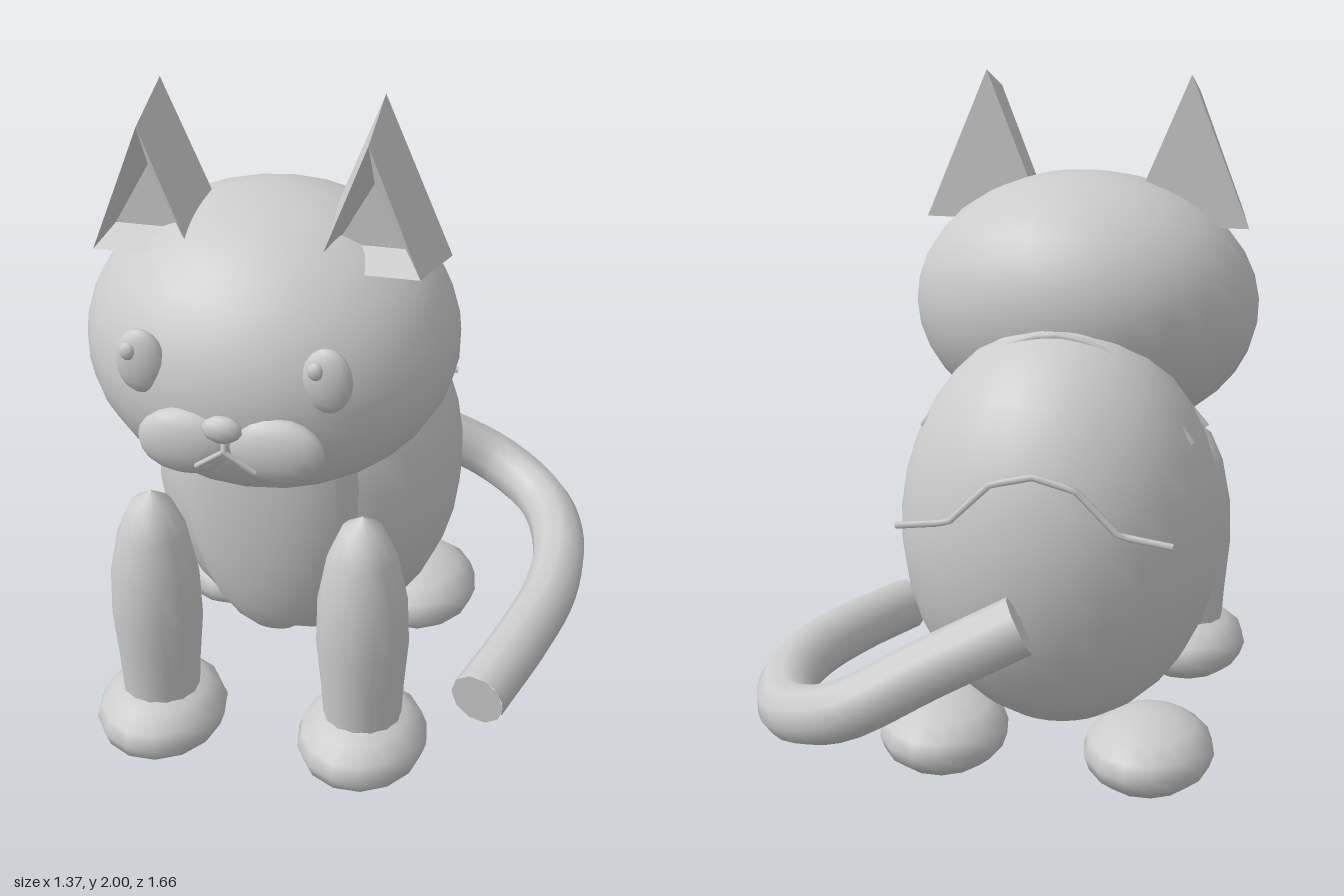
import * as THREE from 'three';

const CX = -0.165; // the cat sits left of the origin, balanced by its tail
const V = (x, y, z) => new THREE.Vector3(x, y, z);

export function createModel() {
  const model = new THREE.Group();
  const grey = new THREE.MeshStandardMaterial({ color: 0xcccccc });
  grey.name = 'light grey';

  const add = (name, geometry, x = 0, y = 0, z = 0) => {
    const mesh = new THREE.Mesh(geometry, grey);
    mesh.name = name;
    mesh.position.set(x, y, z);
    model.add(mesh);
    return mesh;
  };
  const ellipsoid = (name, x, y, z, rx, ry, rz, seg = 16) =>
    add(name, new THREE.SphereGeometry(1, seg, Math.round(seg * 0.6)).scale(rx, ry, rz), x, y, z);

  // Thin rod along straight segments
  const rod = (name, points, radius) => {
    const path = new THREE.CurvePath();
    for (let i = 1; i < points.length; i++) path.add(new THREE.LineCurve3(points[i - 1], points[i]));
    return add(name, new THREE.TubeGeometry(path, points.length * 4, radius, 6), CX);
  };

  // Body, chest patch and head
  ellipsoid('body', CX, 0.715, -0.08, 0.475, 0.61, 0.45, 28);
  ellipsoid('chestPatch', CX, 0.85, 0.37, 0.26, 0.51, 0.12, 24);
  ellipsoid('head', CX, 1.3, 0.3, 0.525, 0.4, 0.465, 28).rotation.x = 0.4;

  // Front leg profile, narrowing to a blunt shoulder
  const legProfile = [[0.11, 0.13], [0.12, 0.3], [0.133, 0.45], [0.128, 0.6], [0.1, 0.74], [0.06, 0.83], [0, 0.87]]
    .map(([r, y]) => new THREE.Vector2(r, y));

  // Ear: a triangular prism, wider and taller at the back
  const earGeometry = () => {
    const back = [V(-0.183, 1.555, 0.255), V(0.183, 1.555, 0.255), V(0, 2, 0.27)];
    const front = [V(-0.14, 1.575, 0.478), V(0.14, 1.575, 0.478), V(0, 1.93, 0.475)];
    // Recessed triangle inside the front rim
    const inner = [V(-0.1, 1.625, 0.4), V(0.1, 1.625, 0.4), V(0, 1.8, 0.4)];
    const corners = [];
    const tri = (a, b, c) => corners.push(a, b, c);
    for (let i = 0; i < 3; i++) {
      const j = (i + 1) % 3;
      tri(back[i], back[j], front[j]);
      tri(back[i], front[j], front[i]);
      tri(front[i], front[j], inner[j]);
      tri(front[i], inner[j], inner[i]);
    }
    tri(...inner);
    tri(back[0], back[2], back[1]);
    const geometry = new THREE.BufferGeometry().setFromPoints(corners);
    geometry.computeVertexNormals();
    return geometry;
  };

  // Paired parts
  for (const [side, s] of [['left', 1], ['right', -1]]) {
    const limbX = CX + s * 0.308;
    add(side + 'FrontLeg', new THREE.LatheGeometry(legProfile.map((p) => p.clone()), 14), limbX, 0, 0.53);
    ellipsoid(side + 'FrontPaw', limbX, 0.115, 0.53, 0.192, 0.112, 0.225, 14);
    ellipsoid(side + 'BackPaw', limbX, 0.115, -0.29, 0.192, 0.112, 0.225, 14);
    add(side + 'Ear', earGeometry(), limbX);
    ellipsoid(side + 'Eye', CX + s * 0.252, 1.368, 0.692, 0.068, 0.092, 0.033);
    ellipsoid(side + 'EyeGlint', CX + s * 0.252 - 0.025, 1.405, 0.718, 0.022, 0.025, 0.015, 12);
    ellipsoid(side + 'Muzzle', CX + s * 0.125, 1.17, 0.735, 0.13, 0.095, 0.05);
    rod(side + 'Mouth', [V(0, 1.22, 0.785), V(0, 1.185, 0.8), V(s * 0.08, 1.125, 0.785)], 0.008);
  }
  ellipsoid('nose', CX, 1.255, 0.805, 0.055, 0.038, 0.028, 12);

  // Back stripes: two arches and a wavy one
  const arch = (z, base, rise) => Array.from({ length: 13 }, (_, i) => {
    const t = i / 6 - 1;
    return V(t * 0.395, base + rise * (1 - t * t), z);
  });
  rod('shoulderStripe', arch(0.155, 0.97, 0.25), 0.01);
  rod('middleStripe', arch(-0.178, 1.02, 0.29), 0.01);
  const wave = [[-0.39, 0.82], [-0.24, 0.84], [-0.12, 0.96], [0, 0.99], [0.12, 0.96], [0.24, 0.84], [0.39, 0.82]];
  rod('rearStripe', wave.map(([x, y]) => V(x, y, -0.485)), 0.01);

  // Tail curling round to the front, with flat ends
  const tailPath = new THREE.CatmullRomCurve3([
    V(-0.16, 0.61, -0.62), V(0.08, 0.49, -0.69), V(0.32, 0.36, -0.74), V(0.5, 0.29, -0.63),
    V(0.59, 0.27, -0.4), V(0.6, 0.25, -0.15), V(0.55, 0.23, 0.1), V(0.46, 0.2, 0.4),
  ]);
  add('tail', new THREE.TubeGeometry(tailPath, 32, 0.085, 10));
  for (const [name, t, s] of [['tailBase', 0, -1], ['tailTip', 1, 1]]) {
    const p = tailPath.getPoint(t);
    const cap = add(name, new THREE.CircleGeometry(0.085, 10), p.x, p.y, p.z);
    cap.quaternion.setFromUnitVectors(V(0, 0, 1), tailPath.getTangent(t).multiplyScalar(s));
  }

  return model;
}
